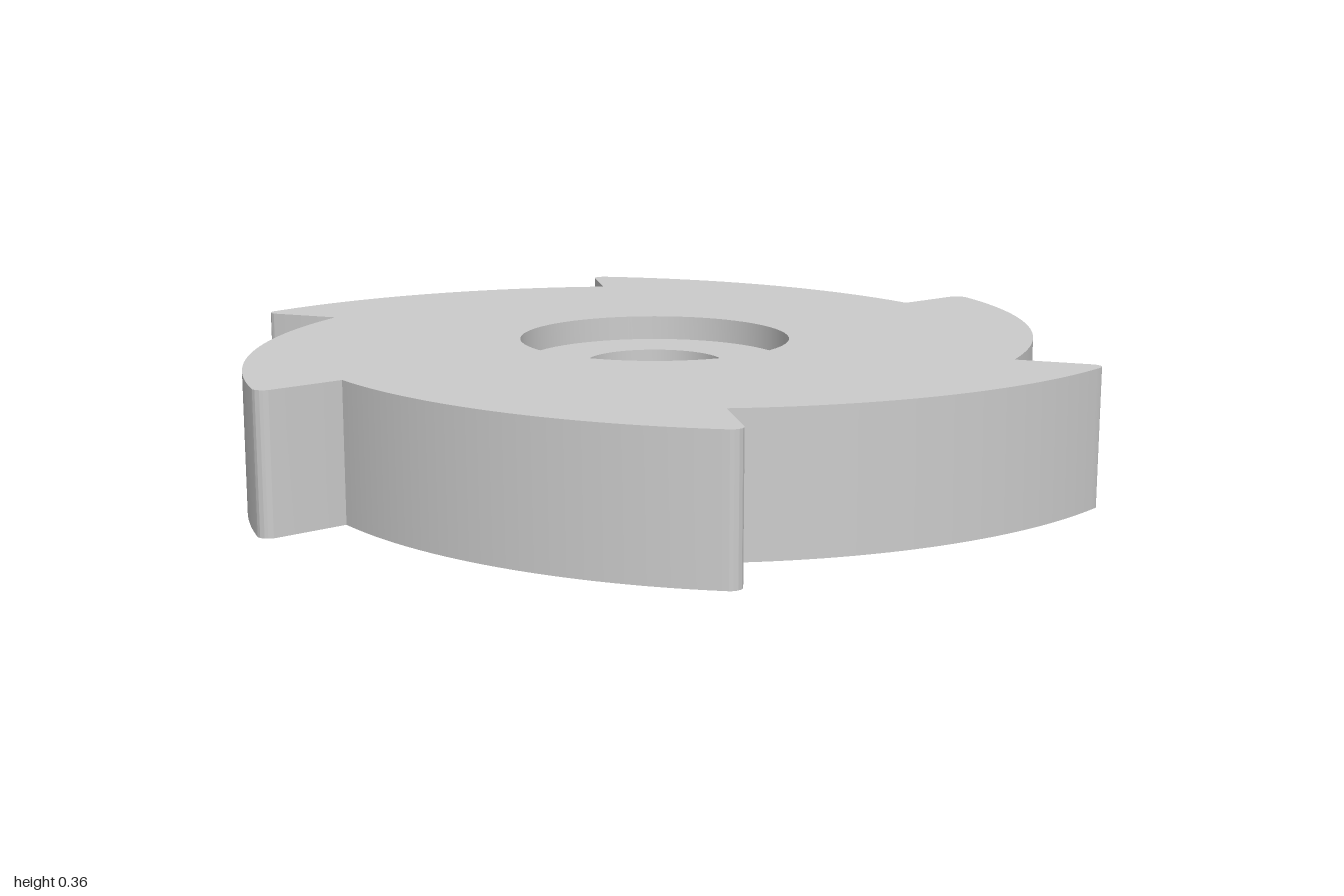
import * as THREE from 'three';
import { toCreasedNormals } from 'three/addons/utils/BufferGeometryUtils.js';

const TEETH = 6;
const BOTTOM = 0.055, TOP = 0.355; // plate heights
const HUB_R = 0.302, BORE_R = 0.153, FLOOR = 0.3;

// Outline of the wheel: radial tooth face, rounded tip, long arc down to the next valley
function wheelShape() {
  const step = (2 * Math.PI) / TEETH;
  const R = 1.133, cx = -0.32, cy = -0.078; // back arc of the tooth at the top
  const r = 0.025; // tip rounding
  const tipY = cy + Math.sqrt((R - r) ** 2 - (r - cx) ** 2);
  const join = Math.atan2(tipY - cy, r - cx); // where tip rounding meets the back arc

  // Valley: the back arc meets the next radial tooth face
  const dx = Math.sin(step), dy = Math.cos(step);
  const along = dx * cx + dy * cy;
  const valley = along + Math.sqrt(along ** 2 - cx ** 2 - cy ** 2 + R ** 2);
  const end = Math.atan2(dy * valley - cy, dx * valley - cx);

  const shape = new THREE.Shape();
  shape.moveTo(0, valley);
  for (let i = 0; i < TEETH; i++) {
    const a = -i * step, c = Math.cos(a), s = Math.sin(a);
    shape.absarc(c * r - s * tipY, s * r + c * tipY, r, Math.PI + a, join + a, true);
    shape.absarc(c * cx - s * cy, s * cx + c * cy, R, join + a, end + a, true);
  }
  const hole = new THREE.Path();
  hole.absarc(0, 0, HUB_R, 0, 2 * Math.PI, false);
  shape.holes.push(hole);
  return shape;
}

export function createModel() {
  const group = new THREE.Group();
  const material = new THREE.MeshStandardMaterial({ color: 0xcccccc });
  const add = (name, geometry) => {
    const mesh = new THREE.Mesh(toCreasedNormals(geometry, 0.5), material);
    mesh.name = name;
    group.add(mesh);
  };

  // Toothed plate
  const plate = new THREE.ExtrudeGeometry(wheelShape(), {
    depth: TOP - BOTTOM, bevelEnabled: false, curveSegments: 32,
  });
  plate.rotateX(-Math.PI / 2);
  plate.translate(0, BOTTOM, 0);
  add('toothedWheel', plate);

  // Hub: recess floor, bore and the boss below the plate
  const profile = [
    [HUB_R, FLOOR], [BORE_R, FLOOR], [BORE_R, 0], [HUB_R, 0], [HUB_R, BOTTOM],
  ].map(([x, y]) => new THREE.Vector2(x, y));
  add('hub', new THREE.LatheGeometry(profile, 64));

  return group;
}
